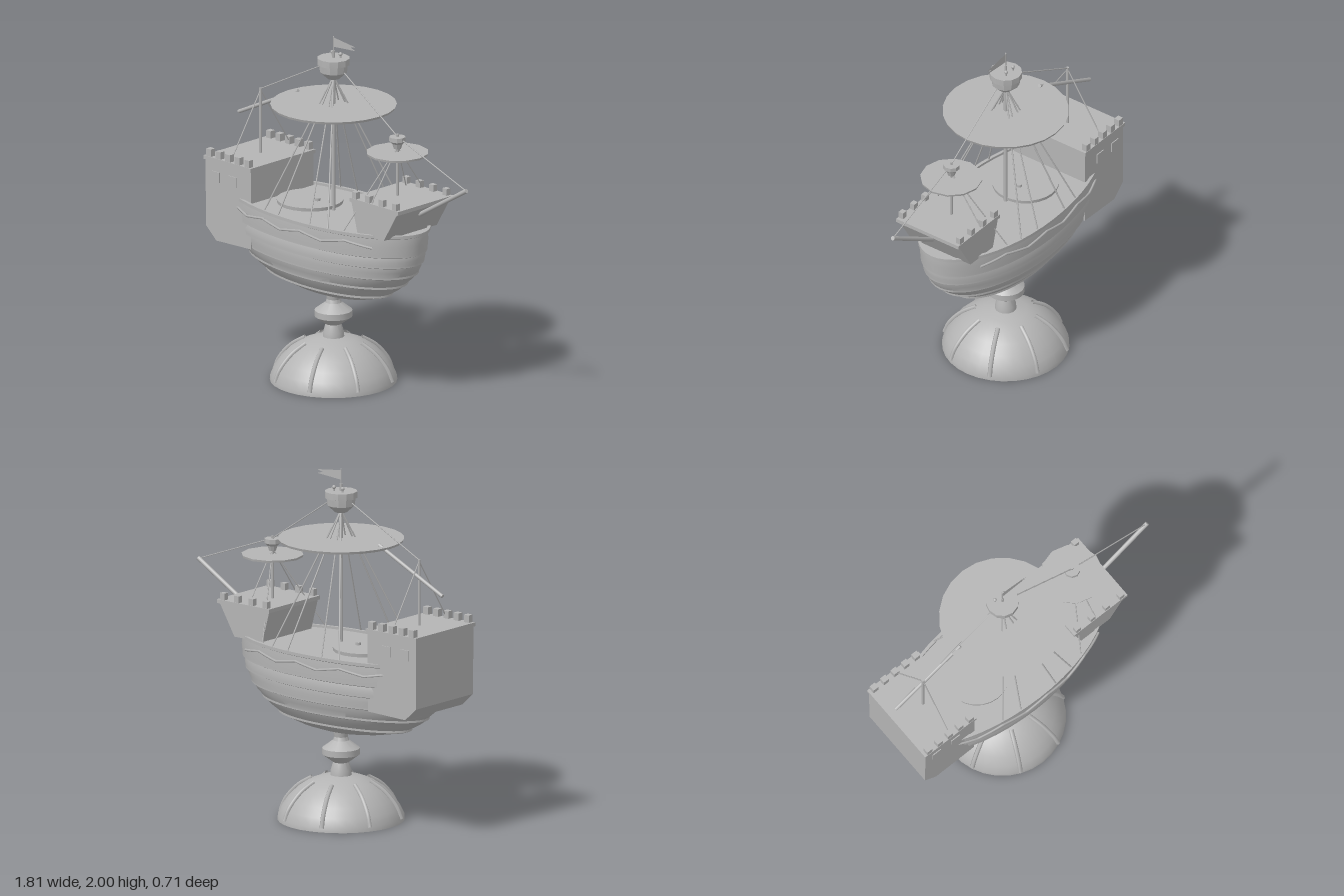
import * as THREE from 'three';
import { toCreasedNormals } from 'three/addons/utils/BufferGeometryUtils.js';

const grey = new THREE.MeshStandardMaterial({ color: 0xb4b4b4 });
grey.name = 'plain grey';
const greyThin = grey.clone();
greyThin.name = 'plain grey thin';
greyThin.side = THREE.DoubleSide;

const MAST_X = -0.145, FORE_X = 0.355, MIZZEN_X = -0.715;
const V = (x, y, z = 0) => new THREE.Vector3(x, y, z);

export function createModel() {
  const ship = new THREE.Group();
  ship.name = 'shipOnStand';

  const add = (name, geo, x = 0, y = 0, z = 0, mat = grey) => {
    const mesh = new THREE.Mesh(geo, mat);
    mesh.name = name;
    mesh.position.set(x, y, z);
    ship.add(mesh);
    return mesh;
  };
  const box = (name, w, h, d, x, y, z) => add(name, new THREE.BoxGeometry(w, h, d), x, y, z);
  const disc = (name, r, h, n, x, y) => add(name, new THREE.CylinderGeometry(r, r * 0.985, h, n), x, y);
  const lathe = (name, pts, n, x, crease = 0.5) => add(name,
    toCreasedNormals(new THREE.LatheGeometry(pts.map(p => new THREE.Vector2(...p)), n), crease), x);
  // round bar between two points
  const rod = (name, a, b, r, n = 6) => {
    const mesh = add(name, new THREE.CylinderGeometry(r, r, a.distanceTo(b), n));
    mesh.position.addVectors(a, b).multiplyScalar(0.5);
    mesh.quaternion.setFromUnitVectors(V(0, 1, 0), b.clone().sub(a).normalize());
  };
  // side outline in x, y given a width in z
  const slab = (name, pts, depth) => {
    const shape = new THREE.Shape(pts.map(p => new THREE.Vector2(...p)));
    const geo = new THREE.ExtrudeGeometry(shape, { depth, bevelEnabled: false });
    add(name, geo, 0, 0, -depth / 2);
  };

  // domed foot, neck and knob
  lathe('standFoot', [[0, 0], [0.355, 0], [0.353, 0.025], [0.33, 0.075], [0.295, 0.125], [0.245, 0.175],
    [0.185, 0.215], [0.12, 0.24], [0.06, 0.252], [0.058, 0.28], [0.044, 0.325], [0.105, 0.37], [0.105, 0.405],
    [0.045, 0.45], [0.038, 0.47], [0.048, 0.52]], 32, MAST_X);
  for (let i = 0; i < 8; i++) {
    const curve = new THREE.CatmullRomCurve3([V(0.352, 0.022), V(0.33, 0.08), V(0.295, 0.13), V(0.245, 0.18), V(0.17, 0.226)]);
    const rib = add('footRib', new THREE.TubeGeometry(curve, 12, 0.013, 6), MAST_X, 0, 0, greyThin);
    rib.rotation.y = (i + 0.5) * Math.PI / 4;
  }

  // hull lofted from egg-shaped rings: height, bow x, stern x, half width
  const strakes = [[0.572, 0.28, -0.64, 0.2], [0.65, 0.385, -0.755, 0.258], [0.725, 0.46, -0.83, 0.293],
    [0.8, 0.5, -0.87, 0.31], [0.865, 0.52, -0.885, 0.318], [0.982, 0.54, -0.895, 0.33]];
  const shrink = ([y, b, s, h], d, dy = 0) => [y + dy, b - d, s + d, h - d];
  const rings = [[0.508, MAST_X, MAST_X, 0], [0.508, 0.03, -0.32, 0.07], [0.53, 0.14, -0.46, 0.13]];
  strakes.forEach((s, i) => {
    rings.push(shrink(s, 0.014, -0.006), s, shrink(s, 0, 0.012));
    const next = strakes[i + 1];
    if (next) rings.push(s.map((v, k) => v * 0.45 + shrink(next, 0.008)[k] * 0.55));
  });
  const top = strakes[5];
  rings.push(shrink(top, 0, 0.018), shrink(top, 0.018, 0.018), shrink(top, 0.018, 0.004), [0.986, MAST_X, MAST_X, 0]);
  const N = 48, pos = [], idx = [];
  rings.forEach(([y, bow, stern, half], i) => {
    for (let j = 0; j <= N; j++) {
      const a = j / N * Math.PI * 2, c = Math.cos(a);
      pos.push(MAST_X + c * (c > 0 ? bow - MAST_X : MAST_X - stern), y, half * Math.sin(a));
      if (i && j < N) {
        const p = (i - 1) * (N + 1) + j, q = p + N + 1;
        idx.push(p, q, p + 1, p + 1, q, q + 1);
      }
    }
  });
  const hull = new THREE.BufferGeometry();
  hull.setAttribute('position', new THREE.Float32BufferAttribute(pos, 3));
  hull.setIndex(idx);
  add('hull', toCreasedNormals(hull, 0.5));

  // zigzag moulding along both sides
  const zig = [];
  for (let i = 0; i <= 56; i++) {
    const x = -0.7 + i * 1.07 / 56, t = (i / 8) % 2;
    const u = (x - MAST_X) / (x > MAST_X ? 0.678 : 0.745);
    zig.push([x, 0.924 + 0.027 * Math.abs(1 - t), 0.325 * Math.sqrt(1 - u * u) + 0.004]);
  }
  for (const s of [1, -1]) {
    const path = new THREE.CatmullRomCurve3(zig.map(([x, y, z]) => V(x, y, s * z)));
    add('zigzagTrim', new THREE.TubeGeometry(path, 112, 0.007, 5), 0, 0, 0, greyThin);
  }

  // deck hatch
  disc('deckHatch', 0.187, 0.02, 24, -0.328, 1.003);
  disc('hatchKnob', 0.016, 0.02, 8, -0.27, 1.018);

  // stern castle
  slab('sternBlock', [[-0.9, 0.985], [-0.9, 0.785], [-0.82, 0.712], [-0.55, 0.72], [-0.55, 0.985]], 0.49);
  box('sternCastle', 0.353, 0.2, 0.495, -0.7235, 1.085, 0);
  box('sternCastleRim', 0.367, 0.022, 0.512, -0.7235, 1.183, 0);

  // forecastle
  slab('foreCastle', [[0.25, 0.985], [0.455, 0.985], [0.56, 1.16], [0.202, 1.16]], 0.42);
  box('foreCastleRim', 0.382, 0.022, 0.436, 0.385, 1.171, 0);

  // battlements and windows on both sides
  for (const s of [1, -1]) {
    for (let i = 0; i < 5; i++) box('sternMerlon', 0.036, 0.045, 0.034, -0.872 + i * 0.0745, 1.214, s * 0.237);
    for (let i = 0; i < 4; i++) box('foreMerlon', 0.034, 0.045, 0.03, 0.228 + i * 0.104, 1.198, s * 0.2);
    for (const x of [-0.82, -0.685]) box('sternWindow', 0.06, 0.06, 0.008, x, 1.085, s * 0.249);
  }

  // masts, bowsprit and slanting yard
  rod('mainMast', V(MAST_X, 0.98), V(MAST_X, 1.78), 0.011, 10);
  rod('foreMast', V(FORE_X, 1.17), V(FORE_X, 1.48), 0.008, 8);
  rod('mizzenMast', V(MIZZEN_X, 1.18), V(MIZZEN_X, 1.572), 0.008, 8);
  rod('bowsprit', V(0.53, 1.11), V(0.895, 1.328), 0.013, 8);
  rod('mizzenYard', V(-0.898, 1.39, -0.015), V(-0.435, 1.612, -0.015), 0.011, 8);

  // round sails
  disc('mainSail', 0.353, 0.014, 24, MAST_X, 1.6);
  disc('foreSail', 0.175, 0.012, 12, FORE_X, 1.431);

  // lookout baskets
  lathe('mainBasket', [[0, 1.755], [0.035, 1.755], [0.078, 1.795], [0.082, 1.835], [0.092, 1.838],
    [0.092, 1.875], [0, 1.875]], 12, MAST_X, 0.3);
  lathe('foreBasket', [[0, 1.455], [0.02, 1.455], [0.03, 1.485], [0.046, 1.5], [0.046, 1.525], [0, 1.525]], 9, FORE_X, 0.3);
  rod('foreMastTip', V(FORE_X, 1.52), V(FORE_X, 1.54), 0.008);
  rod('topPost', V(MAST_X, 1.87), V(MAST_X, 1.915), 0.008);
  for (const dx of [-0.033, 0.03]) {
    rod('lookoutBody', V(MAST_X + dx, 1.87, -0.025), V(MAST_X + dx, 1.893, -0.025), 0.006);
    add('lookoutHead', new THREE.SphereGeometry(0.011, 8, 6), MAST_X + dx, 1.896, -0.025);
  }

  // flagpole and swallow-tailed flag
  rod('flagpole', V(MAST_X, 1.9), V(MAST_X, 2), 0.004);
  const flag = new THREE.Shape([[0, 1.993], [0.172, 1.972], [0.135, 1.962], [0.172, 1.95], [0, 1.938]]
    .map(p => new THREE.Vector2(...p)));
  add('flag', new THREE.ShapeGeometry(flag), MAST_X, 0, 0, greyThin);

  // stays running fore and aft
  rod('aftStay', V(-0.225, 1.815), V(MIZZEN_X, 1.567), 0.0035);
  rod('foreStay', V(-0.06, 1.803), V(FORE_X, 1.525), 0.0035);
  rod('bowStay', V(FORE_X, 1.525), V(0.892, 1.326), 0.0035);

  // shrouds to both sides
  for (const s of [1, -1]) {
    for (const [x, z] of [[-0.39, 0.305], [-0.27, 0.318], [-0.02, 0.32], [0.108, 0.3]])
      rod('mainShroud', V(MAST_X, 1.765), V(x, 0.99, s * z), 0.0045);
    rod('foreShroud', V(FORE_X, 1.465), V(0.195, 0.99, s * 0.275), 0.0035);
    rod('foreShortShroud', V(FORE_X, 1.465), V(FORE_X, 1.18, s * 0.205), 0.0035);
    rod('mizzenShroud', V(MIZZEN_X, 1.56), V(MIZZEN_X, 1.19, s * 0.24), 0.0035);
  }
  return ship;
}
